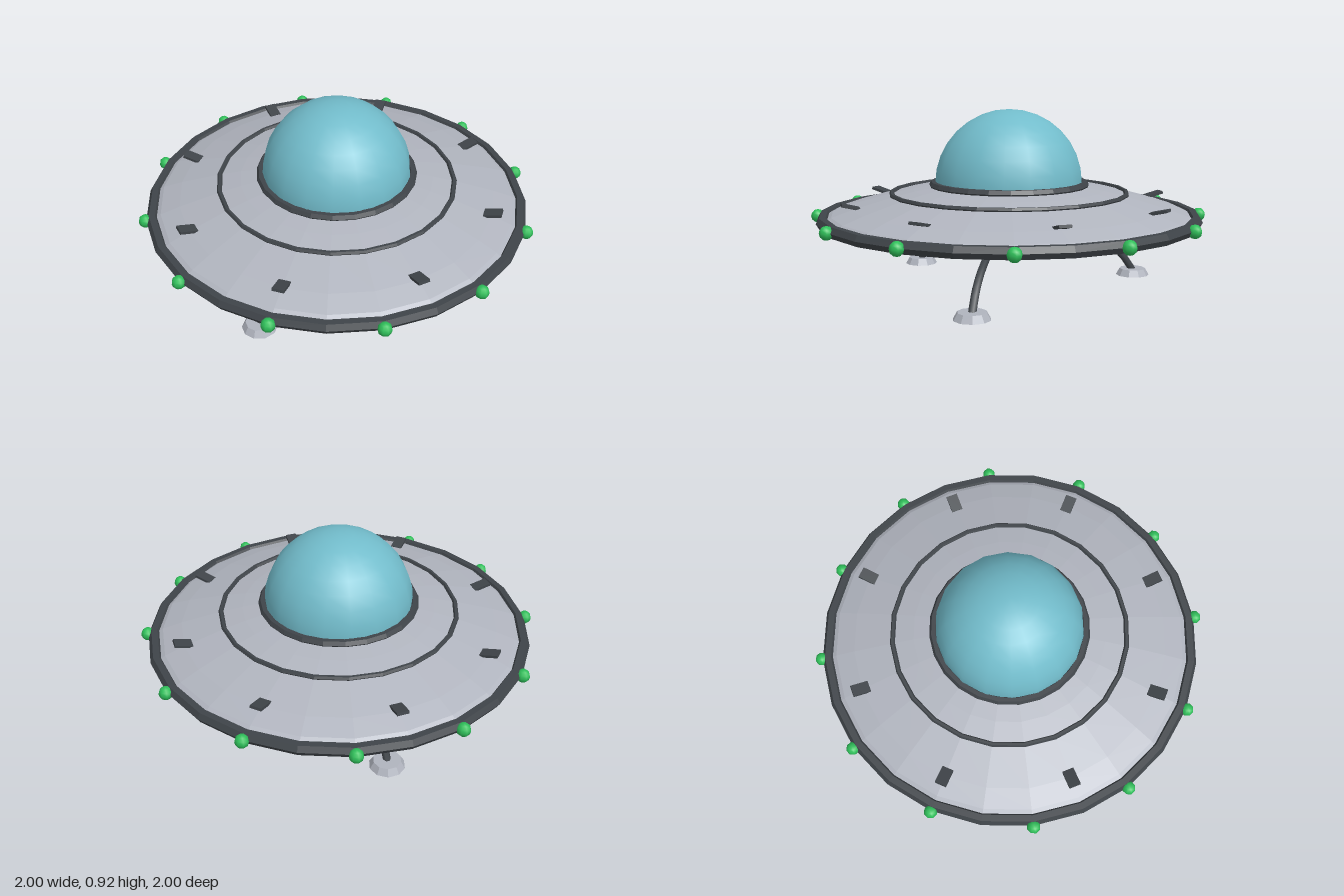
import * as THREE from 'three';

const mat = (name, color) => {
  const m = new THREE.MeshStandardMaterial({ color });
  m.name = name;
  return m;
};

// Faceted normals without touching the material
const flat = (geo) => {
  const g = geo.index ? geo.toNonIndexed() : geo;
  g.computeVertexNormals();
  return g;
};

export function createModel() {
  const root = new THREE.Group();
  root.name = 'flyingSaucer';

  const hullGrey = mat('hullGrey', 0xb0b4be);
  const bellyGrey = mat('bellyGrey', 0xa3a5ab);
  const darkMetal = mat('darkMetal', 0x3f4449);
  const domeBlue = mat('domeBlue', 0x72bccb);
  const lightGreen = mat('lightGreen', 0x2fbf5a);

  const add = (name, geo, material, parent = root) => {
    const m = new THREE.Mesh(geo, material);
    m.name = name;
    parent.add(m);
    return m;
  };
  const lathe = (pts, segs) =>
    new THREE.LatheGeometry(pts.map(([r, y]) => new THREE.Vector2(r, y)), segs);
  const ring = (name, radius, tube, y, segs = 24) => {
    const g = new THREE.TorusGeometry(radius, tube, 6, segs).rotateX(-Math.PI / 2);
    add(name, flat(g), darkMetal).position.y = y;
  };

  // Hull halves, profiles run upward
  add('hullTop', flat(lathe([[0.965, 0.365], [0.92, 0.393], [0.82, 0.427], [0.62, 0.482],
    [0.5, 0.508], [0.4, 0.525], [0.0, 0.53]], 24)), hullGrey);
  add('hullBelly', lathe([[0.0, 0.2], [0.23, 0.205], [0.4, 0.231], [0.54, 0.252],
    [0.67, 0.276], [0.82, 0.308], [0.92, 0.337], [0.965, 0.365]], 24), bellyGrey);

  // Dark rings
  ring('rim', 0.964, 0.032, 0.365);
  ring('deckRing', 0.612, 0.013, 0.488);
  ring('domeCollar', 0.395, 0.022, 0.53);

  // Dome
  add('dome', new THREE.SphereGeometry(0.385, 18, 8, 0, Math.PI * 2, 0, Math.PI / 2), domeBlue)
    .position.y = 0.535;

  // Belly port
  add('bellyPort', flat(new THREE.CylinderGeometry(0.2, 0.235, 0.03, 24)), darkMetal)
    .position.y = 0.194;
  add('bellyLight', new THREE.CylinderGeometry(0.147, 0.147, 0.008, 24), lightGreen)
    .position.y = 0.177;

  // Rim lights
  const bulb = new THREE.SphereGeometry(0.035, 8, 6);
  for (let i = 0; i < 12; i++) {
    const a = (i + 0.5) * Math.PI / 6;
    add('rimLight', bulb, lightGreen).position.set(Math.cos(a), 0.365, Math.sin(a));
  }

  // Deck vents, outer ends raised
  const vent = new THREE.BoxGeometry(0.092, 0.014, 0.06);
  vent.rotateZ(0.24).translate(0.825, 0.444, 0);
  for (let i = 0; i < 8; i++) {
    add('deckVent', vent, darkMetal).rotation.y = i * Math.PI / 4;
  }

  // Landing legs with feet
  const path = new THREE.CatmullRomCurve3([[0.38, 0.265], [0.46, 0.228], [0.57, 0.175],
    [0.65, 0.11], [0.71, 0.025]].map(([x, y]) => new THREE.Vector3(x, y, 0)));
  const strut = new THREE.TubeGeometry(path, 10, 0.02, 6);
  const foot = flat(new THREE.CylinderGeometry(0.07, 0.09, 0.035, 10));
  for (let i = 0; i < 3; i++) {
    const leg = new THREE.Group();
    leg.name = 'landingLeg';
    leg.rotation.y = Math.PI / 2 + i * Math.PI * 2 / 3;
    add('strut', strut, darkMetal, leg);
    add('foot', foot, hullGrey, leg).position.set(0.71, 0.0175, 0);
    root.add(leg);
  }

  return root;
}
